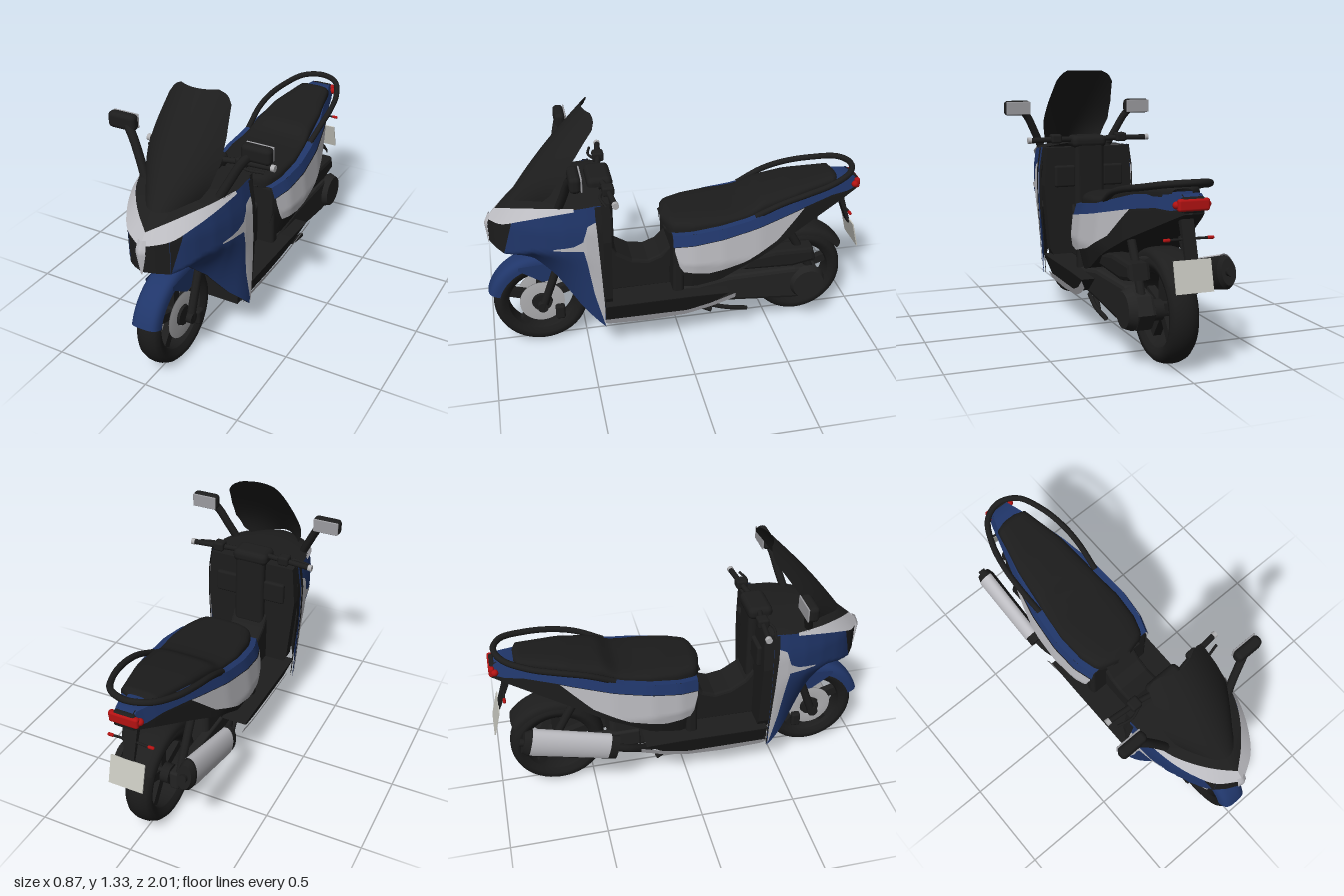
import * as THREE from 'three';
import { RoundedBoxGeometry } from 'three/addons/geometries/RoundedBoxGeometry.js';

const paint = (name, color) => {
  const m = new THREE.MeshStandardMaterial({ color, side: THREE.DoubleSide });
  m.name = name;
  return m;
};

// linear lookup in [z, value] pairs sorted by z
function at(p, z) {
  if (z <= p[0][0]) return p[0][1];
  for (let i = 1; i < p.length; i++) {
    const [a, va] = p[i - 1], [b, vb] = p[i];
    if (z <= b) return va + (vb - va) * (z - a) / (b - a);
  }
  return p[p.length - 1][1];
}

// surface from a rule f(u, v) -> [x, y, z]
function grid(f, nu = 24, nv = 12) {
  const pos = [], idx = [];
  for (let i = 0; i <= nu; i++) for (let j = 0; j <= nv; j++) pos.push(...f(i / nu, j / nv));
  for (let i = 0; i < nu; i++) for (let j = 0; j < nv; j++) {
    const a = i * (nv + 1) + j, b = a + nv + 1;
    idx.push(a, b, a + 1, b, b + 1, a + 1);
  }
  const g = new THREE.BufferGeometry();
  g.setAttribute('position', new THREE.Float32BufferAttribute(pos, 3));
  g.setIndex(idx);
  g.computeVertexNormals();
  return g;
}

const curve = (pts) => new THREE.CatmullRomCurve3(pts.map((p) => new THREE.Vector3(...p)));

// side outline of [z, y] points, extruded from x0 to x1
function slab(pts, x0, x1, bevel = 0.008) {
  const s = new THREE.Shape(pts.map(([z, y]) => new THREE.Vector2(-z, y)));
  const g = new THREE.ExtrudeGeometry(s, { depth: x1 - x0 - 2 * bevel, bevelEnabled: bevel > 0, bevelSize: bevel, bevelThickness: bevel, bevelOffset: -bevel, bevelSegments: 2 });
  return g.rotateY(Math.PI / 2).translate(x0 + bevel, 0, 0);
}

export function createModel() {
  const root = new THREE.Group();
  const black = paint('black plastic', 0x1d1d1d), blue = paint('blue paint', 0x20366a);
  const silver = paint('silver trim', 0xbcbcc1), rubber = paint('tyre rubber', 0x1b1b1b);
  const seatMat = paint('seat vinyl', 0x1c1c1c), steel = paint('steel', 0xb2b2b4), glass = paint('mirror glass', 0x9c9ca0);
  const red = paint('red lens', 0xb31212), plateMat = paint('plate', 0xc6c6be), engineMat = paint('engine grey', 0x222222);

  const add = (name, geo, mat, parent = root) => {
    const m = new THREE.Mesh(geo, mat);
    m.name = name;
    parent.add(m);
    return m;
  };
  const tube = (name, pts, r, mat = black) => add(name, new THREE.TubeGeometry(curve(pts), 6 * pts.length, r, 8), mat);
  const box = (name, w, h, d, x, y, z, mat = black, r = 0.012) => add(name, new RoundedBoxGeometry(w, h, d, 2, Math.min(r, w / 2.1, h / 2.1, d / 2.1)).translate(x, y, z), mat);
  // panel between two edge lines, laid on the body side x = W(z, y), on both sides
  const skin = (name, mat, z0, z1, top, bot, W, off = 0) => {
    for (const s of [1, -1]) add(name, grid((u, v) => {
      const z = z0 + (z1 - z0) * u, b = at(bot, z), y = b + (at(top, z) - b) * v;
      return [s * Math.max(0, W(z, y) + off), y, z];
    }, 32), mat);
  };

  // ---- wheels
  function wheel(name, z, half, discs) {
    const g = new THREE.Group();
    g.name = name;
    const lathe = (n, pts, mat) => add(n, new THREE.LatheGeometry(pts.map((p) => new THREE.Vector2(...p)), 48).rotateZ(Math.PI / 2), mat, g);
    lathe('tyre', [[0.178, -0.7], [0.2, -0.95], [0.222, -1], [0.24, -0.75], [0.25, -0.35], [0.252, 0], [0.25, 0.35], [0.24, 0.75], [0.222, 1], [0.2, 0.95], [0.178, 0.7]].map(([r, a]) => [r, a * half]), rubber);
    lathe('rim', [[0.18, -0.7 * half], [0.174, -0.68 * half], [0.172, 0], [0.174, 0.68 * half], [0.18, 0.7 * half]], black);
    add('hub', new THREE.CylinderGeometry(0.05, 0.05, 0.13, 20).rotateZ(Math.PI / 2), black, g);
    for (let i = 0; i < 5; i++) add('spoke', new THREE.BoxGeometry(0.04, 0.14, 0.045).translate(0, 0.105, 0).rotateX(i * Math.PI * 0.4), black, g);
    if (discs) for (const s of [1, -1])
      lathe('brakeDisc', [[0.055, -0.003], [0.118, -0.003], [0.118, 0.003], [0.055, 0.003], [0.055, -0.003]], steel).position.x = s * 0.05;
    g.position.set(0, 0.252, z);
    root.add(g);
  }
  wheel('frontWheel', 0.73, 0.063, true);
  wheel('rearWheel', -0.68, 0.07, false);

  // ---- mudguards: arcs over the wheels with drooping sides
  const guard = (name, mat, z, a0, a1, r, half, drop) => add(name, grid((u, v) => {
    const a = a0 + (a1 - a0) * u, k = v * 2 - 1, rr = r - drop * Math.pow(Math.abs(k), 3);
    return [half * Math.sin(k * Math.PI / 2), 0.25 + rr * Math.sin(a), z + rr * Math.cos(a)];
  }, 24, 16), mat);
  guard('frontMudguard', blue, 0.73, 0.3, 1.95, 0.285, 0.073, 0.06);
  guard('rearMudguard', black, -0.68, 1.0, 2.5, 0.295, 0.085, 0.04);
  skin('mudguardSide', blue, 0.66, 0.84, [[0.66, 0.5], [0.84, 0.49]], [[0.66, 0.4], [0.72, 0.39], [0.84, 0.47]], () => 0.075);

  // ---- fork
  for (const s of [1, -1]) {
    tube('forkLeg', [[s * 0.095, 0.24, 0.73], [s * 0.095, 0.42, 0.665], [s * 0.095, 0.6, 0.6]], 0.022);
    box('brakeCaliper', 0.04, 0.08, 0.05, s * 0.085, 0.2, 0.64);
    add('axleCap', new THREE.CylinderGeometry(0.028, 0.028, 0.03, 14).rotateZ(Math.PI / 2).translate(s * 0.1, 0.252, 0.73), black);
  }

  // ---- front fairing, tucking inwards towards its lower front edge
  const plan1 = [[0.42, 0.272], [0.5, 0.268], [0.6, 0.252], [0.7, 0.224], [0.8, 0.18], [0.85, 0.15], [0.9, 0.108], [0.94, 0.056], [0.968, 0]];
  const W1 = (z, y) => at(plan1, z) - 9.5 * Math.max(0, 0.65 - 0.3 * Math.max(0, z - 0.754) - y) * Math.max(0, z - 0.42) ** 2
    - 0.15 * Math.max(0, y - 0.78) - 0.05 * Math.max(0, 0.6 - y);
  const top1 = [[0.42, 0.91], [0.45, 0.91], [0.594, 0.89], [0.7, 0.862], [0.8, 0.83], [0.9, 0.787], [0.968, 0.757]];
  const bot1 = [[0.42, 0.187], [0.54, 0.315], [0.647, 0.465], [0.754, 0.567], [0.9, 0.61], [0.968, 0.63]];
  skin('frontFairing', blue, 0.42, 0.9, top1, bot1, W1);
  skin('fairingLiner', black, 0.42, 0.9, top1, bot1, W1, -0.012);
  skin('headlight', black, 0.9, 0.968, top1, bot1, W1);
  skin('headlightCorner', black, 0.85, 0.9, top1, [[0.85, 0.807], [0.9, 0.61]], W1, 0.003);
  skin('fairingStripe', silver, 0.422, 0.515, [[0.422, 0.79], [0.45, 0.83], [0.49, 0.81], [0.515, 0.73]], [[0.422, 0.2], [0.47, 0.4], [0.5, 0.6], [0.515, 0.675]], W1, 0.006);
  skin('fairingAccent', silver, 0.5, 0.66, [[0.5, 0.735], [0.56, 0.7], [0.66, 0.682]], [[0.5, 0.67], [0.66, 0.675]], W1, 0.005);
  skin('shieldEdge', black, 0.418, 0.45, [[0.418, 0.91], [0.45, 0.91]], [[0.418, 0.25], [0.45, 0.86]], W1, 0.009);
  add('noseUnderside', grid((u, v) => {
    const z = 0.44 + 0.528 * u, y = Math.max(0.575, at(bot1, z));
    return [(v * 2 - 1) * Math.max(0, W1(z, y) - 0.008), y, z];
  }), black);

  // silver brow and its centre spear
  const low = curve([[0.256, 0.888, 0.55], [0.226, 0.86, 0.69], [0.182, 0.825, 0.8], [0.115, 0.782, 0.9], [0, 0.76, 0.974]]);
  const upp = curve([[0.248, 0.902, 0.55], [0.205, 0.893, 0.68], [0.152, 0.877, 0.77], [0.085, 0.85, 0.85], [0, 0.812, 0.925]]);
  for (const s of [1, -1]) add('brow', grid((u, v) => {
    const p = low.getPoint(u).lerp(upp.getPoint(u), v);
    return [s * p.x, p.y + 0.003, p.z];
  }, 24, 4), silver);
  add('centreSpear', grid((u, v) => {
    const y = 0.62 + 0.17 * u, k = v * 2 - 1, w = at([[0.62, 0.004], [0.73, 0.027], [0.79, 0.022]], y);
    return [k * w, y, at([[0.62, 0.972], [0.74, 0.984], [0.79, 0.962]], y) - Math.abs(k) * w * 0.5];
  }, 10, 4), silver);

  // dash cowl and windscreen, which wraps back more towards its foot
  const rim = curve([[0.25, 0.91, 0.41], [0.248, 0.902, 0.55], [0.205, 0.893, 0.68], [0.152, 0.877, 0.77], [0.085, 0.85, 0.85], [0, 0.812, 0.925]]);
  add('dashCowl', grid((u, v) => {
    const p = rim.getPoint(u), k = v * 2 - 1;
    return [p.x * k, p.y + 0.025 * (1 - k * k) * Math.min(1, 4 * (1 - u)), p.z];
  }), black);
  const screenHalf = [[0.88, 0.13], [0.95, 0.172], [1.05, 0.195], [1.15, 0.187], [1.27, 0.165], [1.31, 0.14], [1.33, 0.1]];
  add('windscreen', grid((u, v) => {
    const y = 0.88 + 0.45 * u, x = (v * 2 - 1) * at(screenHalf, y);
    return [x, y, 0.85 - 0.385 * u + 0.015 * Math.sin(Math.PI * u) - (3.2 + 5 * (1 - u) ** 6) * x * x];
  }, 30, 16), black);

  // leg shield and pockets
  const shieldHalf = [[-0.19, 0.17], [-0.195, 0.28], [-0.225, 0.34], [-0.258, 0.7], [-0.24, 0.91]];
  const shield = new THREE.Shape([...shieldHalf, ...shieldHalf.map(([x, y]) => [-x, y]).reverse()].map((p) => new THREE.Vector2(...p)));
  add('legShield', new THREE.ExtrudeGeometry(shield, { depth: 0.06, bevelEnabled: false }).translate(0, 0, 0.375), black);
  for (const s of [1, -1]) box('glovePocket', 0.12, 0.12, 0.03, s * 0.14, 0.75, 0.37);
  box('radiator', 0.3, 0.22, 0.04, 0, 0.42, 0.45);
  box('steeringCover', 0.17, 0.42, 0.06, 0, 0.74, 0.37, black, 0.025);

  // ---- handlebar, levers and mirrors
  box('instrumentPod', 0.2, 0.07, 0.13, 0, 0.94, 0.4, black, 0.03);
  for (const s of [1, -1]) {
    tube('handlebar', [[s * 0.05, 0.95, 0.4], [s * 0.15, 0.955, 0.38], [s * 0.34, 0.955, 0.36]], 0.015);
    box('switchBlock', 0.06, 0.05, 0.06, s * 0.19, 0.96, 0.375);
    add('barEnd', new THREE.CylinderGeometry(0.017, 0.017, 0.02, 12).rotateZ(Math.PI / 2).translate(s * 0.343, 0.955, 0.36), steel);
    tube('brakeLever', [[s * 0.18, 0.95, 0.4], [s * 0.24, 0.948, 0.42], [s * 0.32, 0.945, 0.405]], 0.007);
    tube('mirrorStalk', [[s * 0.2, 0.89, 0.62], [s * 0.245, 0.98, 0.595], [s * 0.29, 1.065, 0.575], [s * 0.325, 1.11, 0.56]], 0.022);
    box('mirrorHead', 0.15, 0.082, 0.055, s * 0.358, 1.122, 0.55, black, 0.022);
    box('mirrorGlass', 0.138, 0.072, 0.008, s * 0.358, 1.122, 0.521, glass);
  }

  // ---- centre tunnel, floor and sills; the sills lean in towards the ground
  const sillHalf = (y) => 0.2 + 0.4 * (y - 0.16);
  add('centreTunnel', slab([[0.4, 0.3], [0.4, 0.62], [0.374, 0.59], [0.33, 0.53], [0.25, 0.48], [0.166, 0.465], [0.1, 0.49], [0.04, 0.55], [0.04, 0.3]], -0.1, 0.1, 0.015), black);
  const floor = slab([[0.42, 0.31], [-0.05, 0.315], [-0.24, 0.31], [-0.15, 0.235], [-0.02, 0.195], [0.15, 0.175], [0.41, 0.18]], -1, 1, 0.008);
  const fp = floor.attributes.position;
  for (let i = 0; i < fp.count; i++) fp.setX(i, fp.getX(i) * (sillHalf(fp.getY(i)) - 0.006));
  floor.computeVertexNormals();
  add('floorboard', floor, black);
  skin('sillStripe', silver, -0.27, 0.42, [[-0.27, 0.312], [-0.14, 0.248], [-0.02, 0.208], [0.42, 0.208]], [[-0.27, 0.275], [-0.155, 0.22], [-0.02, 0.175], [0.19, 0.16], [0.4, 0.17], [0.42, 0.18]], (z, y) => sillHalf(y), 0.004);

  // ---- tail bodywork
  const plan2 = [[-0.98, 0.06], [-0.9, 0.088], [-0.8, 0.118], [-0.6, 0.178], [-0.4, 0.224], [-0.2, 0.243], [-0.05, 0.232], [0.06, 0.195]];
  const tailTop = [[-0.98, 0.805], [-0.96, 0.83], [-0.65, 0.795], [-0.34, 0.71], [0.05, 0.65]];
  const tailMid = [[-0.98, 0.775], [-0.93, 0.755], [-0.82, 0.755], [-0.65, 0.727], [-0.34, 0.66], [0.05, 0.59]];
  const tailLow = [[-0.98, 0.745], [-0.61, 0.58], [-0.34, 0.44], [-0.2, 0.36], [0.05, 0.29]];
  const W2 = (z, y) => at(plan2, z) - 0.25 * Math.max(0, 0.5 - y) - 0.3 * Math.max(0, y - at(tailMid, z));
  const flare = (z, y) => W2(z, y) + 0.1 * (at(tailMid, z) - y);
  skin('tailPanel', blue, -0.98, 0.05, tailTop, tailMid, W2);
  skin('sidePanel', silver, -0.65, 0.045, tailMid, [[-0.65, 0.725], [-0.5, 0.58], [-0.315, 0.487], [-0.13, 0.44], [0.015, 0.45], [0.045, 0.57]], flare, 0.004);
  skin('underTail', black, -0.98, 0.05, tailTop, tailLow, W2, -0.012);
  for (const [name, line, mat, off] of [['tailDeck', tailTop, blue, 0], ['tailUnderside', tailLow, black, -0.012]])
    add(name, grid((u, v) => {
      const z = -0.98 + 1.03 * u, y = at(line, z), k = v * 2 - 1;
      return [k * (W2(z, y) + off), y, z];
    }), mat);
  box('seatFrontPanel', 0.38, 0.36, 0.06, 0, 0.47, 0.02, black, 0.02);
  box('tailEnd', 0.11, 0.07, 0.03, 0, 0.785, -0.965);

  // ---- seat
  const seatHalf = [[-0.86, 0.05], [-0.845, 0.093], [-0.6, 0.15], [-0.4, 0.172], [-0.2, 0.193], [-0.05, 0.183], [0.04, 0.155], [0.075, 0.11], [0.085, 0.04]];
  const seatTop = [[-0.86, 0.84], [-0.84, 0.855], [-0.61, 0.83], [-0.43, 0.795], [-0.36, 0.75], [-0.28, 0.735], [-0.1, 0.727], [0.05, 0.715], [0.085, 0.69]];
  add('seat', grid((u, v) => {
    const z = -0.86 + 0.945 * u, a = Math.PI * v, c = Math.cos(a), b = at(tailTop, z) - 0.01;
    return [at(seatHalf, z) * Math.sign(c) * Math.pow(Math.abs(c), 0.6), b + (at(seatTop, z) - b) * Math.pow(Math.max(0, Math.sin(a)), 0.5), z];
  }, 48, 24), seatMat);
  add('seatBase', slab([[0.08, 0.655], [-0.3, 0.7], [-0.3, 0.67], [0.06, 0.64]], -0.11, 0.11, 0), seatMat);

  // grab rail
  const half = [[0.19, 0.72, -0.38], [0.2, 0.785, -0.52], [0.195, 0.82, -0.65], [0.165, 0.845, -0.79], [0.1, 0.87, -0.91]];
  tube('grabRail', [...half, [0, 0.877, -0.95], ...half.map(([x, y, z]) => [-x, y, z]).reverse()], 0.016);

  // ---- tail light, signals and plate
  box('tailLight', 0.15, 0.055, 0.03, 0, 0.786, -0.972, red);
  for (const s of [1, -1]) {
    add('tailLens', new THREE.SphereGeometry(0.018, 14, 10).translate(s * 0.072, 0.785, -0.957), red);
    tube('signalStem', [[0, 0.63, -0.925], [s * 0.05, 0.63, -0.928], [s * 0.095, 0.63, -0.93]], 0.006);
    box('turnSignal', 0.035, 0.016, 0.016, s * 0.105, 0.63, -0.93, red);
  }
  add('plateBracket', slab([[-0.87, 0.74], [-0.905, 0.74], [-0.972, 0.52], [-0.958, 0.52]], -0.03, 0.03, 0), black);
  add('licencePlate', new THREE.BoxGeometry(0.18, 0.145, 0.006).rotateX(0.25).translate(0, 0.475, -0.982), plateMat);

  // ---- engine, drive case and airbox
  box('engine', 0.24, 0.25, 0.42, 0, 0.33, -0.2, engineMat, 0.03);
  add('driveCase', slab([[0, 0.32], [-0.25, 0.36], [-0.62, 0.365], [-0.75, 0.34], [-0.79, 0.26], [-0.74, 0.18], [-0.62, 0.17], [-0.3, 0.2], [0, 0.22]], 0.08, 0.185, 0.02), engineMat);
  add('clutchCover', new THREE.CylinderGeometry(0.085, 0.1, 0.04, 28).rotateZ(-Math.PI / 2).translate(0.195, 0.27, -0.69), engineMat);
  add('airbox', slab([[-0.31, 0.4], [-0.36, 0.47], [-0.5, 0.49], [-0.71, 0.485], [-0.73, 0.41], [-0.6, 0.385]], 0.085, 0.195, 0.02), black);
  box('axleArm', 0.05, 0.1, 0.5, -0.11, 0.28, -0.5, engineMat);
  for (const s of [1, -1]) tube('shockAbsorber', [[s * 0.13, 0.32, -0.72], [s * 0.13, 0.46, -0.65], [s * 0.13, 0.62, -0.56]], 0.022);

  // ---- exhaust: dark can with a silver shield on its outer and upper side
  const muffler = new THREE.Group();
  muffler.name = 'muffler';
  const can = (n, r0, r1, len, z, mat, ...arc) => add(n, new THREE.CylinderGeometry(r0, r1, len, 24, 1, ...arc).rotateX(Math.PI / 2).scale(0.58, 1, 1).translate(0, 0, z), mat, muffler);
  can('mufflerCan', 0.072, 0.078, 0.46, 0.01, black);
  can('mufflerShield', 0.08, 0.085, 0.41, -0.01, silver, true, Math.PI - 0.4, 2.6);
  can('mufflerEndCap', 0.078, 0.062, 0.03, -0.235, black);
  add('tailPipe', new THREE.CylinderGeometry(0.02, 0.02, 0.03, 12).rotateX(Math.PI / 2).translate(0, 0, -0.255), black, muffler);
  muffler.position.set(-0.233, 0.385, -0.625);
  muffler.rotation.x = 0.26;
  root.add(muffler);
  tube('exhaustPipe', [[-0.08, 0.2, -0.05], [-0.14, 0.21, -0.2], [-0.21, 0.28, -0.32], [-0.23, 0.325, -0.41]], 0.022);

  // ---- stands
  for (const s of [1, -1]) tube('centreStandLeg', [[s * 0.1, 0.2, 0.02], [s * 0.12, 0.165, -0.08], [s * 0.14, 0.13, -0.17]], 0.014);
  tube('sideStand', [[0.17, 0.2, -0.12], [0.18, 0.165, -0.24], [0.17, 0.135, -0.36]], 0.012);
  return root;
}
